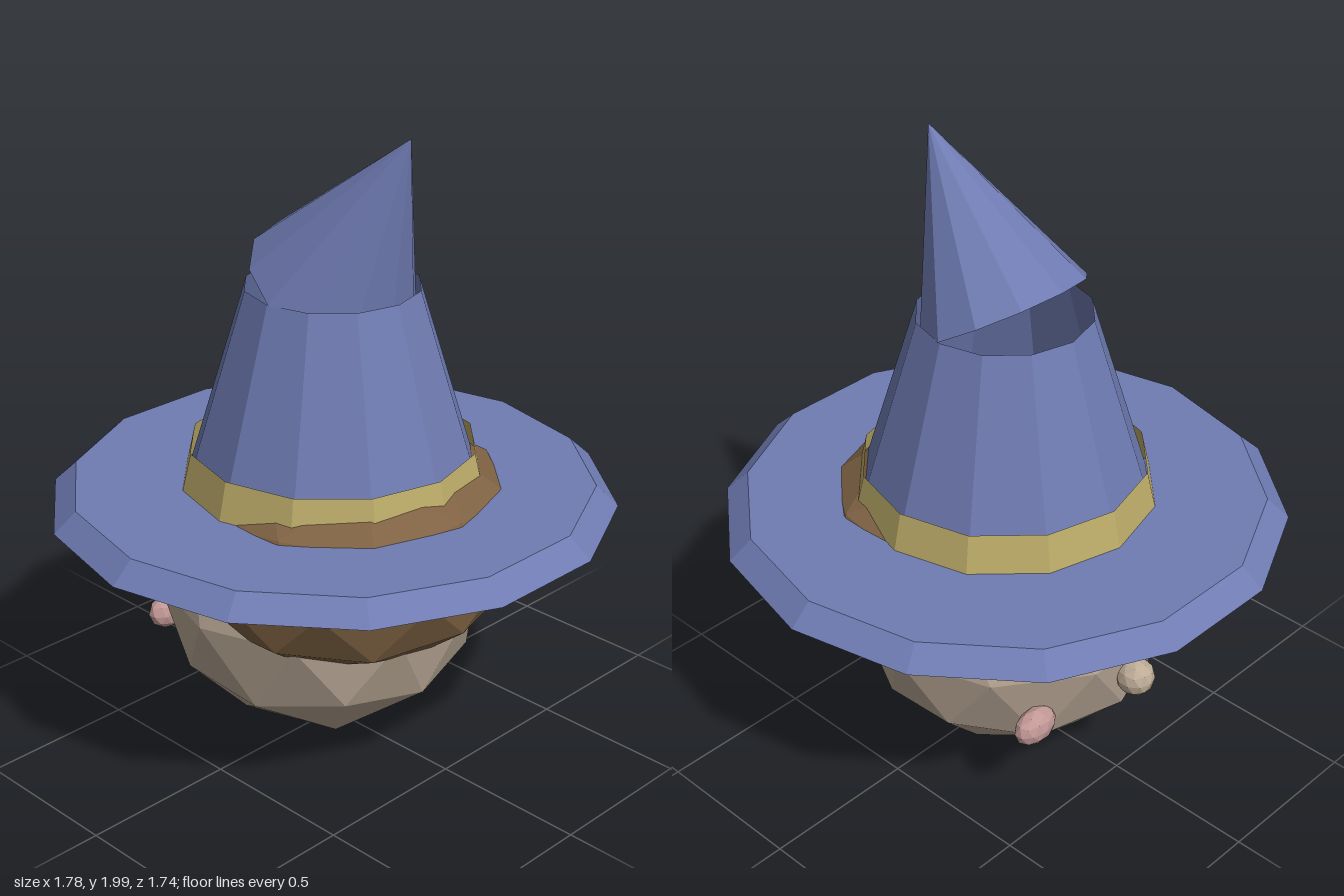
import * as THREE from 'three';

const mat = (name, color, side = THREE.FrontSide) => {
  const m = new THREE.MeshStandardMaterial({ color, flatShading: true, side });
  m.name = name;
  return m;
};

// Faceted ball with a vertex at each pole, scaled to the given radii
function ball(rx, ry, rz, turn) {
  const g = new THREE.IcosahedronGeometry(1, 1);
  g.rotateZ(Math.atan(2 / (1 + Math.sqrt(5))));
  g.rotateY(turn);
  g.scale(rx, ry, rz);
  g.computeVertexNormals();
  return g;
}

export function createModel() {
  const group = new THREE.Group();
  const blue = mat('hat blue', 0x6f7bb2, THREE.DoubleSide);
  const gold = mat('band gold', 0xbcab69, THREE.DoubleSide);
  const brown = mat('hair brown', 0x7f6243);
  const skin = mat('skin', 0xb8a795);
  const noseSkin = mat('nose tan', 0xbdab96);
  const pink = mat('cheek pink', 0xc29896);

  const add = (name, geometry, material, x, y, z) => {
    const mesh = new THREE.Mesh(geometry, material);
    mesh.name = name;
    mesh.position.set(x, y, z);
    group.add(mesh);
    return mesh;
  };

  // Head and the hair mass wrapped over it; the face looks toward -z
  add('head', ball(0.53, 0.5, 0.52, Math.PI / 2), skin, 0, 0.505, -0.045);
  add('hair', ball(0.57, 0.37, 0.51, -Math.PI / 2), brown, 0, 0.68, 0.1);

  // Nose and cheeks
  add('nose', ball(0.062, 0.062, 0.062, 0), noseSkin, 0, 0.415, -0.56);
  for (const side of [-1, 1]) {
    add(side > 0 ? 'leftCheek' : 'rightCheek', ball(0.08, 0.06, 0.047, 0), pink, side * 0.32, 0.34, -0.435);
  }

  // Hat: 14-sided brim, open 12-sided crown and band, tilted tip
  const brim = new THREE.CylinderGeometry(0.82, 0.89, 0.065, 14);
  brim.rotateY(Math.PI / 2);
  add('hatBrim', brim, blue, 0, 0.8325, 0);
  add('hatBand', new THREE.CylinderGeometry(0.45, 0.478, 0.12, 12, 1, true), gold, 0, 0.925, 0);
  add('hatCrown', new THREE.CylinderGeometry(0.272, 0.466, 0.63, 12, 1, true), blue, 0, 1.18, 0);

  const tip = new THREE.ConeGeometry(0.274, 0.588, 12, 1, true);
  tip.translate(0, 0.294, 0);
  add('hatTip', tip, blue, 0, 1.497, 0.005).rotation.x = THREE.MathUtils.degToRad(31.3);

  return group;
}
